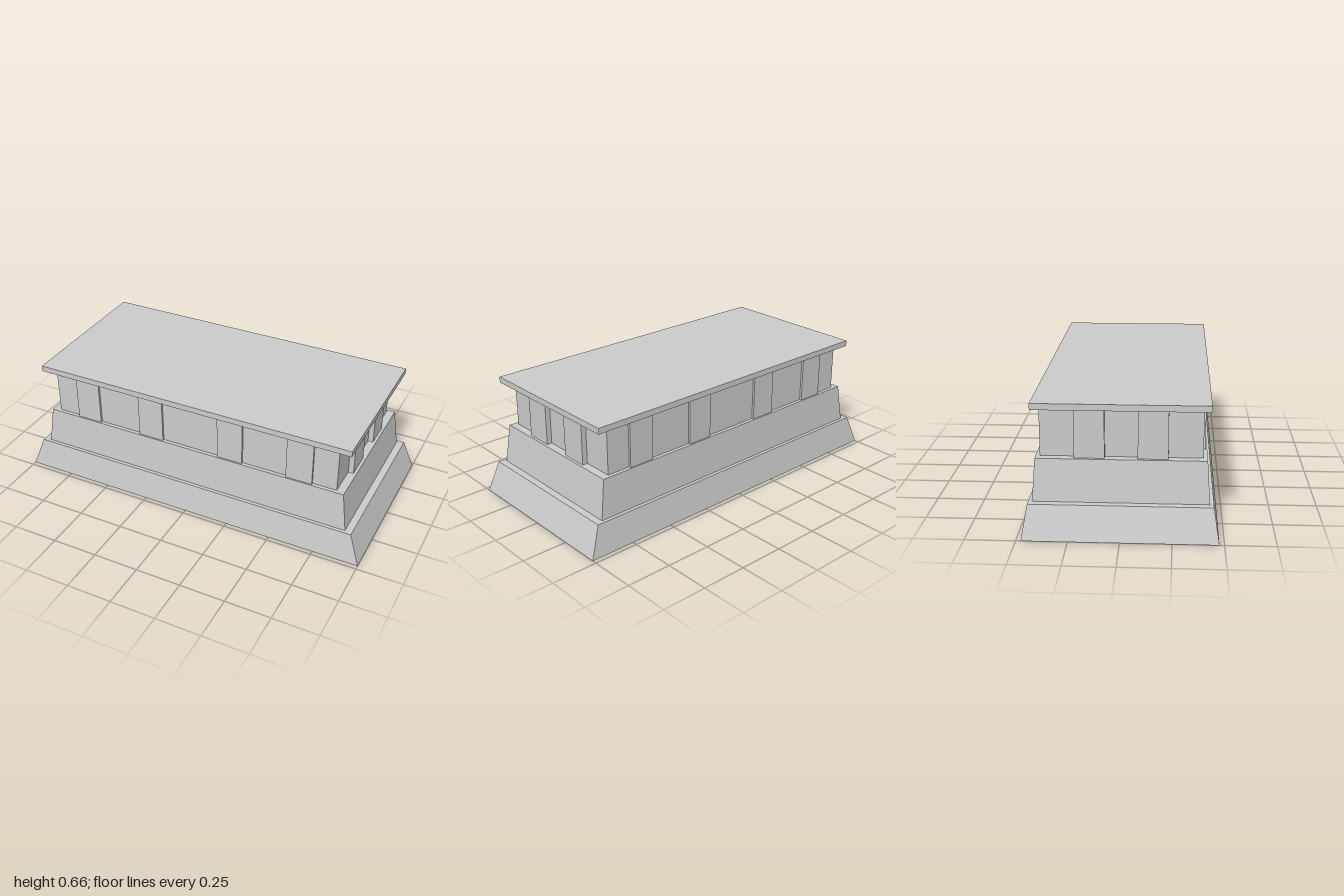
import * as THREE from 'three';

export function createModel() {
  const model = new THREE.Group();
  const material = new THREE.MeshStandardMaterial({ color: 0xcccccc, flatShading: true });

  // Box between two heights; half sizes at the bottom and (optionally) at the top
  function block(name, y0, y1, hx, hz, topX = hx, topZ = hz, x = 0, z = 0) {
    const geometry = new THREE.BoxGeometry(2 * hx, y1 - y0, 2 * hz);
    const p = geometry.attributes.position;
    for (let i = 0; i < p.count; i++) {
      if (p.getY(i) > 0) {
        p.setX(i, Math.sign(p.getX(i)) * topX);
        p.setZ(i, Math.sign(p.getZ(i)) * topZ);
      }
    }
    geometry.computeVertexNormals();
    const mesh = new THREE.Mesh(geometry, material);
    mesh.name = name;
    mesh.position.set(x, (y0 + y1) / 2, z);
    model.add(mesh);
  }

  const Y = { base: 0.166, plinth: 0.377, body: 0.629, top: 0.661 };
  const core = { x: 0.83, z: 0.396 };
  const outer = { x: 0.858, z: 0.408 };

  // Tapered steps, body and top slab
  block('base', 0, Y.base, 1, 0.476, 0.94, 0.449);
  block('plinth', Y.base, Y.plinth, 0.902, 0.43, 0.873, 0.416);
  block('body', Y.plinth, Y.body, core.x, core.z);
  block('topSlab', Y.body, Y.top, 0.902, 0.43);

  // Raised pilasters on the long and short faces
  for (const side of [-1, 1]) {
    const dz = (outer.z - core.z) / 2;
    for (const x of [-0.627, -0.235, 0.235, 0.627]) {
      block(side > 0 ? 'frontPilaster' : 'backPilaster', Y.plinth, Y.body,
        0.072, dz, 0.072, dz, x, side * (core.z + dz));
    }
    const dx = (outer.x - core.x) / 2;
    for (const z of [-0.154, 0.154]) {
      block(side > 0 ? 'leftPilaster' : 'rightPilaster', Y.plinth, Y.body,
        dx, 0.074, dx, 0.074, side * (core.x + dx), z);
    }
  }
  return model;
}
